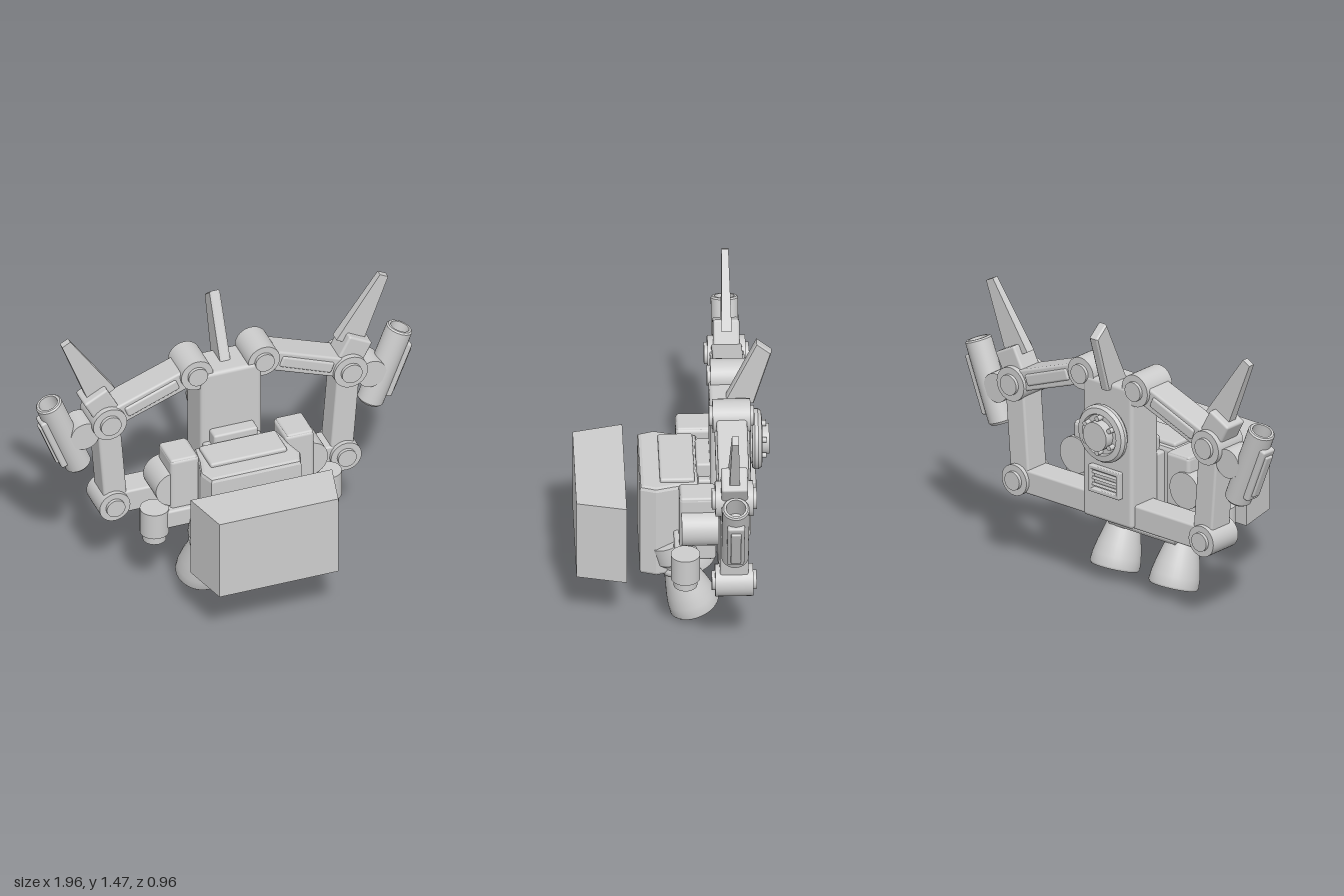
import * as THREE from 'three';
import { RoundedBoxGeometry } from 'three/addons/geometries/RoundedBoxGeometry.js';

export function createModel() {
  const model = new THREE.Group();
  model.name = 'thrusterBackpack';
  const grey = new THREE.MeshStandardMaterial({ color: 0xcccccc });
  grey.name = 'light grey';
  const Z = -0.28; // depth of the arm plane

  const add = (name, geo, pos = [0, 0, 0], rot = [0, 0, 0], parent = model) => {
    const m = new THREE.Mesh(geo, grey);
    m.name = name;
    m.position.set(...pos);
    m.rotation.set(...rot);
    parent.add(m);
    return m;
  };
  const rbox = (w, h, d, r = 0.012) => new RoundedBoxGeometry(w, h, d, 2, r);
  const cyl = (r, h, r2 = r) => new THREE.CylinderGeometry(r, r2, h, 32);
  const lathe = (pts) => new THREE.LatheGeometry(pts.map((p) => new THREE.Vector2(...p)), 32);
  const polygon = (pts) => new THREE.Shape(pts.map((p) => new THREE.Vector2(...p)));

  // Box whose +y (or +z) end is scaled down
  const taper = (w, h, d, axis, sx, sOther) => {
    const g = new THREE.BoxGeometry(w, h, d);
    const p = g.attributes.position;
    for (let i = 0; i < p.count; i++) {
      const end = axis === 'y' ? p.getY(i) : p.getZ(i);
      if (end <= 0) continue;
      p.setX(i, p.getX(i) * sx);
      if (axis === 'y') p.setZ(i, p.getZ(i) * sOther);
      else p.setY(i, p.getY(i) * sOther);
    }
    g.computeVertexNormals();
    return g;
  };

  // Lathe with each profile segment flat-edged: one sharp band per segment
  const bands = (name, pts, parent) => {
    for (let i = 0; i < pts.length - 1; i++) add(name, lathe([pts[i], pts[i + 1]]), [0, 0, 0], [0, 0, 0], parent);
  };

  // Front block
  add('frontBlock', taper(0.74, 0.434, 0.245, 'z', 0.84, 1), [0, 0.528, 0.36]);

  // Torso, extruded downward from its plan outline
  const torso = new THREE.ExtrudeGeometry(
    polygon([[-0.2, -0.1], [0.2, -0.1], [0.215, 0], [0.24, 0.09], [0.22, 0.15], [-0.22, 0.15], [-0.24, 0.09], [-0.215, 0]]),
    { depth: 0.475, bevelThickness: 0.02, bevelSize: 0.02, bevelSegments: 2 });
  torso.rotateX(Math.PI / 2);
  add('torso', torso, [0, 0.765, 0]);
  add('torsoTopPlate', rbox(0.4, 0.04, 0.17), [0, 0.785, -0.015]);
  add('rearLip', rbox(0.23, 0.09, 0.075), [0, 0.787, -0.147]);
  add('columnMount', rbox(0.3, 0.32, 0.1), [0, 0.6, -0.15]);
  add('rearClasp', rbox(0.13, 0.07, 0.06), [0, 0.41, -0.14]);
  add('claspLatch', rbox(0.07, 0.04, 0.03, 0.008), [0, 0.4, -0.16]);

  // Central column and its fin
  add('column', rbox(0.32, 0.74, 0.2, 0.02), [0, 0.79, Z + 0.003]);
  const fin = new THREE.ExtrudeGeometry(
    polygon([[-0.25, 1.13], [-0.39, 1.13], [-0.475, 1.42], [-0.41, 1.475]].reverse()),
    { depth: 0.034, bevelThickness: 0.01, bevelSize: 0.006, bevelSegments: 1 });
  fin.translate(0, 0, -0.017).rotateY(-Math.PI / 2);
  add('centreFin', fin);

  // Round rear disc
  const disc = new THREE.Group();
  disc.name = 'rearDisc';
  disc.position.set(0, 0.9, -0.37);
  disc.rotation.x = -Math.PI / 2;
  model.add(disc);
  bands('discRim', [[0.12, 0], [0.12, 0.015], [0.14, 0.015], [0.15, 0.028], [0.15, 0.045], [0.138, 0.062], [0.108, 0.066], [0.102, 0.05], [0, 0.05]], disc);
  add('discHub', cyl(0.075, 0.06), [0, 0.07, 0], [0, 0, 0], disc);
  for (let i = 0; i < 6; i++) {
    const a = (i + 0.5) * Math.PI / 3;
    add('discBolt', cyl(0.013, 0.04), [0.09 * Math.cos(a), 0.065, 0.09 * Math.sin(a)], [0, 0, 0], disc);
  }

  // Rear louvre: frame and slats
  for (const s of [-1, 1]) {
    add('ventFrameSide', rbox(0.02, 0.135, 0.035, 0.005), [0.09 * s, 0.64, -0.388]);
    add('ventFrameEdge', rbox(0.2, 0.02, 0.035, 0.005), [0, 0.64 + 0.06 * s, -0.388]);
  }
  for (let i = -1; i <= 1; i++) add('ventSlat', new THREE.BoxGeometry(0.16, 0.015, 0.02), [0, 0.64 + i * 0.032, -0.386], [0.4, 0, 0]);

  for (const s of [-1, 1]) {
    const side = new THREE.Group();
    side.name = s > 0 ? 'leftSide' : 'rightSide';
    model.add(side);
    const put = (name, geo, x, y, z, rz = 0) => add(name, geo, [x * s, y, z], [0, 0, rz * s], side);

    // Pivot barrel with smaller end caps
    const joint = (name, x, y, r) => {
      put(name, cyl(r, 0.186).rotateX(Math.PI / 2), x, y, Z);
      put(name + 'Cap', cyl(r * 0.6, 0.22).rotateX(Math.PI / 2), x, y, Z);
    };
    // Beam between two points in the arm plane
    const beam = (name, x1, y1, x2, y2, w, d) =>
      put(name, rbox(w, Math.hypot(x2 - x1, y2 - y1), d), (x1 + x2) / 2, (y1 + y2) / 2, Z, -Math.atan2(x2 - x1, y2 - y1));

    joint('shoulderJoint', 0.175, 1.16, 0.083);
    joint('elbowJoint', 0.63, 0.98, 0.088);
    joint('lowerJoint', 0.605, 0.48, 0.08);
    beam('upperArm', 0.19, 1.15, 0.62, 0.99, 0.11, 0.15);
    beam('upperArmRib', 0.27, 1.125, 0.54, 1.02, 0.06, 0.17);
    beam('outerStrut', 0.627, 0.96, 0.59, 0.49, 0.12, 0.14);
    beam('lowerArm', 0.13, 0.48, 0.6, 0.48, 0.125, 0.145);

    // Swept fin on the elbow
    put('finBase', rbox(0.135, 0.17, 0.13), 0.655, 1.065, Z, -0.49);
    put('armFin', taper(0.146, 0.4, 0.052, 'y', 0.33, 0.65), 0.737, 1.283, Z, -0.49);

    // Launcher tube carried outside the elbow
    put('tubePivot', cyl(0.075, 0.13).rotateX(Math.PI / 2), 0.75, 0.92, Z);
    const tube = new THREE.Group();
    tube.name = 'launcherTube';
    tube.position.set(0.84 * s, 0.918, Z);
    tube.rotation.z = -0.375 * s;
    side.add(tube);
    bands('tubeShell', [[0, -0.218], [0.055, -0.218], [0.067, -0.205], [0.067, 0.21], [0.06, 0.218], [0.048, 0.218], [0.048, 0.1], [0, 0.1]], tube);
    add('tubePad', rbox(0.04, 0.31, 0.085), [0.065 * s, -0.005, 0], [0, 0, 0], tube);
    add('tubePadPlate', rbox(0.03, 0.25, 0.05, 0.008), [0.082 * s, -0.005, 0], [0, 0, 0], tube);

    // Side tanks beside the torso
    put('sideBlock', rbox(0.15, 0.36, 0.18, 0.018), 0.3, 0.62, -0.11);
    put('sideBlockTop', rbox(0.138, 0.12, 0.17, 0.012), 0.304, 0.745, -0.11);
    put('sideTank', cyl(0.095, 0.18).rotateX(Math.PI / 2), 0.355, 0.63, -0.12);
    put('podBracket', rbox(0.24, 0.1, 0.11), 0.31, 0.475, -0.05);
    put('pod', cyl(0.072, 0.14), 0.452, 0.463, -0.047);
    put('podTip', cyl(0.058, 0.05), 0.452, 0.375, -0.047);

    // Tilted thruster
    const thruster = new THREE.Group();
    thruster.name = 'thruster';
    thruster.position.set(0.19 * s, 0.05, -0.103);
    thruster.rotation.x = 0.33;
    side.add(thruster);
    add('bell', lathe([[0.118, 0], [0.126, 0.012], [0.122, 0.06], [0.11, 0.12], [0.094, 0.18], [0.078, 0.24]]), [0, 0, 0], [0, 0, 0], thruster);
    add('bellInside', lathe([[0, 0.2], [0.06, 0.2], [0.09, 0.13], [0.108, 0.06], [0.118, 0]]), [0, 0, 0], [0, 0, 0], thruster);
    add('collar', new THREE.TorusGeometry(0.065, 0.023, 12, 32).rotateX(Math.PI / 2), [0, 0.258, 0], [0, 0, 0], thruster);
    bands('housing', [[0.07, 0.24], [0.076, 0.29], [0.1, 0.32], [0.1, 0.42], [0, 0.42]], thruster);
  }
  return model;
}
